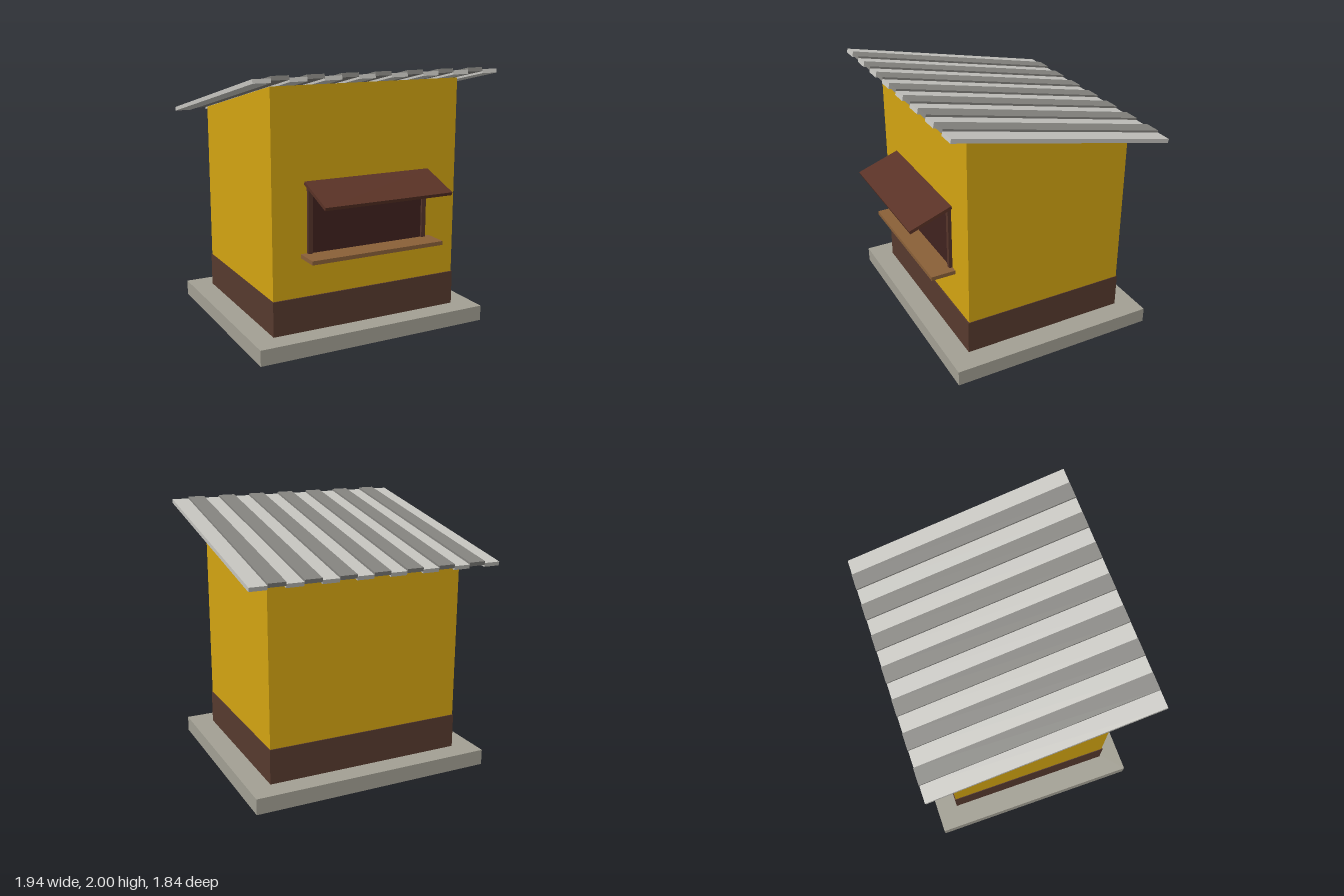
import * as THREE from 'three';

const mat = (color) => new THREE.MeshStandardMaterial({ color, flatShading: true });

export function createModel() {
  const model = new THREE.Group();
  const concrete = mat(0xa3a094), brown = mat(0x573a2e), yellow = mat(0xd4a512);
  const lightMetal = mat(0xc6c5c0), darkMetal = mat(0x858480);
  const frameWood = mat(0x55342a), opening = mat(0x40221f);
  const sillWood = mat(0x8a6038), awningWood = mat(0x5a3226);

  // Box given by its extents on each axis
  function box(name, material, [x0, x1], [y0, y1], [z0, z1], parent = model) {
    const mesh = new THREE.Mesh(new THREE.BoxGeometry(x1 - x0, y1 - y0, z1 - z0), material);
    mesh.position.set((x0 + x1) / 2, (y0 + y1) / 2, (z0 + z1) / 2);
    mesh.name = name;
    parent.add(mesh);
    return mesh;
  }

  // Slab and plinth
  box('baseSlab', concrete, [-0.94, 0.94], [0, 0.12], [-0.88, 0.765]);
  box('plinth', brown, [-0.77, 0.77], [0.12, 0.385], [-0.715, 0.6]);

  // Walls: side profile with a sloping top, extruded across the width
  const profile = new THREE.Shape([
    new THREE.Vector2(-0.59, 0.385), new THREE.Vector2(0.708, 0.385),
    new THREE.Vector2(0.708, 1.635), new THREE.Vector2(-0.59, 1.911),
  ]);
  const wallGeo = new THREE.ExtrudeGeometry(profile, { depth: 1.53, bevelEnabled: false });
  wallGeo.translate(0, 0, -0.765).rotateY(Math.PI / 2);
  const walls = new THREE.Mesh(wallGeo, yellow);
  walls.name = 'walls';
  model.add(walls);

  // Corrugated roof: alternating low and raised strips
  const roof = new THREE.Group();
  roof.name = 'roof';
  roof.position.set(0, 1.788, -0.0605);
  roof.rotation.x = -0.2095;
  const count = 15, width = 1.94 / count;
  for (let i = 0; i < count; i++) {
    const raised = i % 2 === 1, x = -0.97 + i * width, y = raised ? 0.015 : 0;
    box(raised ? 'raisedRoofStrip' : 'lowRoofStrip', raised ? darkMetal : lightMetal,
      [x, x + width], [y - 0.015, y + 0.015], [-0.8735, 0.8735], roof);
  }
  model.add(roof);

  // Serving window with frame and sill
  const hatch = new THREE.Group();
  hatch.name = 'servingWindow';
  box('windowOpening', opening, [-0.46, 0.46], [0.71, 1.18], [0.58, 0.6], hatch);
  for (const s of [-1, 1])
    box('windowJamb', frameWood, [s * 0.4775 - 0.0175, s * 0.4775 + 0.0175], [0.71, 1.2], [0.58, 0.616], hatch);
  box('windowHeader', frameWood, [-0.46, 0.46], [1.165, 1.2], [0.58, 0.616], hatch);
  box('sill', sillWood, [-0.545, 0.545], [0.68, 0.71], [0.58, 0.78], hatch);

  // Tilted awning panel over the window
  const awning = box('awning', awningWood, [-0.515, 0.515], [-0.0125, 0.0125], [-0.174, 0.174], hatch);
  awning.position.set(0, 1.167, 0.755);
  awning.rotation.x = 0.35;
  model.add(hatch);

  return model;
}
